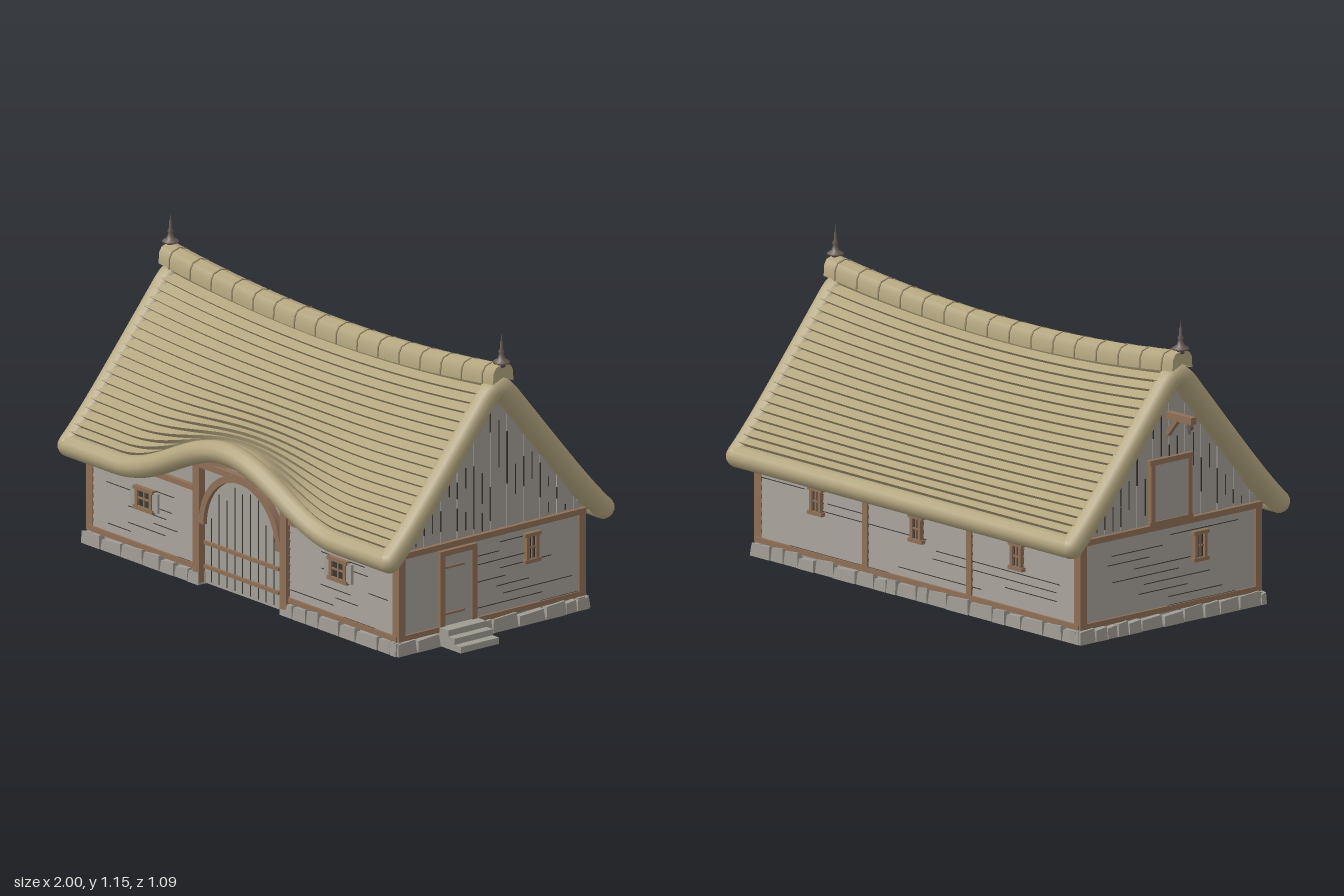
import * as THREE from 'three';
import { toCreasedNormals } from 'three/addons/utils/BufferGeometryUtils.js';

const mat = (name, color, side = THREE.FrontSide) => {
  const m = new THREE.MeshStandardMaterial({ color, side });
  m.name = name;
  return m;
};
const thatch = mat('thatch', 0xb3a57f, THREE.DoubleSide);
const thatchDark = mat('dark thatch', 0x8d8062, THREE.DoubleSide);
const boards = mat('weathered boards', 0xa39e97, THREE.DoubleSide);
const timber = mat('timber', 0x8f7057);
const stone = mat('stone', 0x9f9b93);
const dark = mat('dark gaps', 0x3b3733);
const iron = mat('finial metal', 0x675b54);

let seed = 7;
const rnd = () => (seed = (seed * 16807) % 2147483647) / 2147483647;

function add(g, name, geo, m, x = 0, y = 0, z = 0) {
  const mesh = new THREE.Mesh(geo, m);
  mesh.name = name;
  mesh.position.set(x, y, z);
  g.add(mesh);
  return mesh;
}
const box = (g, name, m, w, h, d, x, y, z) => add(g, name, new THREE.BoxGeometry(w, h, d), m, x, y, z);
const poly = (pts) => new THREE.Shape(pts.map(([x, y]) => new THREE.Vector2(x, y)));
const extrude = (shape, depth) => new THREE.ExtrudeGeometry(shape, { depth, bevelEnabled: false, curveSegments: 24 });

// Surface through a grid of points fn(i, j)
function sheet(fn, ni, nj, crease = 0.5) {
  const pos = [], idx = [];
  for (let i = 0; i <= ni; i++) for (let j = 0; j <= nj; j++) pos.push(...fn(i, j));
  for (let i = 0; i < ni; i++) for (let j = 0; j < nj; j++) {
    const a = i * (nj + 1) + j, b = a + nj + 1;
    idx.push(a, b, a + 1, b, b + 1, a + 1);
  }
  const geo = new THREE.BufferGeometry();
  geo.setAttribute('position', new THREE.Float32BufferAttribute(pos, 3));
  geo.setIndex(idx);
  return toCreasedNormals(geo, crease);
}

// Roof middle height: sagging ridge, flared eave, and an eyebrow over the front door
const EAVE = 0.503;
const sag = (x) => 0.055 * (1 - (x / 0.9) ** 2);
const brow = (x) => (Math.abs(x) < 0.62 ? 0.0925 * (1 + Math.cos((Math.PI * x) / 0.62)) : 0);
function roofY(x, s, u) {
  return 0.96 - 0.609 * u + 0.024 * u ** 6 - 0.03 * Math.max(0, 1 - u / 0.1) ** 2
    - sag(x) * (1 - u) + (s > 0 ? brow(x) * u ** 4 : 0);
}
function roofPoint(x, s, u, off = 0) {
  const e = 0.002, dy = (roofY(x, s, u + e) - roofY(x, s, u)) / e;
  const len = Math.hypot(EAVE, dy);
  const out = u < 0.001 ? 0 : (-dy / len) * off;
  return [x, roofY(x, s, u) + (EAVE / len) * off, s * (EAVE * u + out)];
}

function buildRoof(root) {
  const g = new THREE.Group();
  g.name = 'roof';
  root.add(g);
  const ROWS = 20, NX = 56, xAt = (i) => -0.9 + (1.8 * i) / NX;
  for (const s of [1, -1]) {
    // Overlapping thatch courses
    add(g, 'thatchCourses', sheet((i, j) => {
      const row = Math.floor(j / 2), low = j % 2;
      return roofPoint(xAt(i), s, (row + low) / ROWS, low ? 0.042 : 0.024);
    }, NX, ROWS * 2 - 1), thatch);
    add(g, 'thatchUnderside', sheet((i, j) => roofPoint(xAt(i), s, j / 16, -0.034), NX, 16), thatch);
    add(g, 'ceilingLining', sheet((i, j) => roofPoint(xAt(i) * 0.95, s, 0.05 + j * 0.048, -0.04), NX, 16), boards);
    // Rolled eave
    const pts = Array.from({ length: 41 }, (_, i) => new THREE.Vector3(...roofPoint(-0.9 + i * 0.045, s, 1)));
    add(g, 'eaveRoll', new THREE.TubeGeometry(new THREE.CatmullRomCurve3(pts), 80, 0.042, 12), thatch);
    for (const x of [-0.9, 0.9]) {
      add(g, 'eaveCorner', new THREE.SphereGeometry(0.042, 14, 10), thatch, ...roofPoint(x, s, 1));
    }
  }
  // Rolled gable edges
  for (const x of [-0.9, 0.9]) {
    const pts = [];
    for (let i = -20; i <= 20; i++) pts.push(new THREE.Vector3(...roofPoint(x, i < 0 ? -1 : 1, Math.abs(i) / 20)));
    add(g, 'gableRoll', new THREE.TubeGeometry(new THREE.CatmullRomCurve3(pts), 80, 0.043, 12), thatch);
  }
  // Ridge cap with lashings
  const section = [[-0.048, 0.955], [-0.046, 0.995], [-0.034, 1.016], [0, 1.026], [0.034, 1.016], [0.046, 0.995], [0.048, 0.955]];
  const cap = (x0, x1, n, k) => sheet((i, j) => {
    const end = i === 0 || i === n + 2;
    const x = x0 + ((x1 - x0) * Math.min(Math.max(i - 1, 0), n)) / n;
    const [z, y] = end ? [0, 0.975] : section[j];
    return [x, 0.975 + (y - 0.975) * k - sag(x), z * k];
  }, n + 2, 6);
  add(g, 'ridgeCap', cap(-0.94, 0.94, 30, 1), thatch);
  for (let i = 0; i < 16; i++) {
    const x = -0.88 + i * 0.1173;
    add(g, 'ridgeLashing', cap(x - 0.003, x + 0.003, 1, 1.05), thatchDark);
  }
  // Finials
  const profile = [[0, 0], [0.014, 0], [0.014, 0.012], [0.032, 0.016], [0.03, 0.022], [0.014, 0.032], [0.008, 0.05],
    [0.012, 0.058], [0.006, 0.068], [0.005, 0.095], [0.002, 0.1], [0, 0.135]].map(([r, y]) => new THREE.Vector2(r, y));
  for (const x of [-0.93, 0.93]) add(g, 'finial', new THREE.LatheGeometry(profile, 14), iron, x, 1.018, 0);
}

// Each wall has its own frame: x along the wall, z outward
function wall(root, name, turn) {
  const g = new THREE.Group();
  g.name = name;
  g.rotation.y = turn;
  root.add(g);
  return g;
}
function clapboards(g, x0, x1, z, top) {
  const n = 9, h = (top - 0.07) / n, w = x1 - x0, cx = (x0 + x1) / 2;
  for (let i = 0; i < n; i++) {
    const y = 0.07 + h * (i + 0.5);
    box(g, 'wallBoard', boards, w, h, 0.012, cx, y, z).rotation.x = -0.12;
    const len = w * (0.12 + 0.3 * rnd());
    box(g, 'boardGap', dark, len, 0.003, 0.004, x0 + len / 2 + rnd() * (w - len), y - h / 2, z + 0.007);
  }
}
function stones(g, x0, x1, z) {
  box(g, 'footing', stone, x1 - x0, 0.048, 0.03, (x0 + x1) / 2, 0.024, z - 0.02);
  for (let x = x0; x < x1 - 0.02;) {
    const w = Math.min(0.05 + 0.08 * rnd(), x1 - x), h = 0.04 + 0.014 * rnd();
    const geo = new THREE.BoxGeometry(w - 0.004, h, 0.04), p = geo.attributes.position;
    for (let i = 0; i < p.count; i++) {
      if (p.getY(i) > 0) p.setXYZ(i, p.getX(i) * 0.9, p.getY(i) + Math.sign(p.getX(i)) * 0.003, p.getZ(i) * 0.8);
    }
    geo.computeVertexNormals();
    add(g, 'footingStone', geo, stone, x + w / 2, h / 2, z + 0.005 * rnd());
    x += w;
  }
}
function windowAt(g, x, y, w, h, z, shutters) {
  box(g, 'windowPane', dark, w, h, 0.008, x, y, z + 0.006);
  for (const s of [-1, 1]) {
    box(g, 'windowJamb', timber, 0.014, h + 0.014, 0.022, x + (s * w) / 2, y, z + 0.008);
    box(g, 'windowRail', timber, w + 0.03, 0.014, 0.026, x, y + (s * h) / 2, z + 0.008);
    if (shutters) box(g, 'shutter', boards, 0.03, h, 0.01, x + s * (w / 2 + 0.022), y, z + 0.01);
  }
  box(g, 'mullion', timber, 0.007, h, 0.01, x, y, z + 0.01);
  box(g, 'glazingBar', timber, w, 0.007, 0.01, x, y, z + 0.01);
}

function buildFront(root) {
  const g = wall(root, 'frontWall', 0), D = 0.43;
  // Wall panel rising under the eyebrow
  const top = Array.from({ length: 41 }, (_, i) => 0.86 - i * 0.043).map((x) => [x, roofY(x, 1, D / EAVE) - 0.02]);
  add(g, 'wallPanel', extrude(poly([[-0.86, 0.05], [-0.22, 0.05], [-0.22, 0.01], [0.22, 0.01], [0.22, 0.05], [0.86, 0.05], ...top]), 0.015), boards, 0, 0, 0.412);
  for (const s of [-1, 1]) {
    const [a, b] = s < 0 ? [-0.86, -0.25] : [0.25, 0.86];
    clapboards(g, a, b, D, 0.35);
    stones(g, s < 0 ? -0.885 : 0.225, s < 0 ? -0.225 : 0.885, 0.435);
    box(g, 'sillBeam', timber, 0.62, 0.02, 0.03, s * 0.56, 0.06, D);
    box(g, 'wallPlate', timber, 0.62, 0.02, 0.03, s * 0.56, 0.355, D);
    box(g, 'doorPost', timber, 0.035, 0.45, 0.04, s * 0.245, 0.225, D + 0.005);
    windowAt(g, s * 0.545, 0.245, 0.08, 0.075, D + 0.004, true);
  }
  // Arched barn door
  const leaf = new THREE.Shape();
  leaf.moveTo(-0.21, 0.01).lineTo(0.21, 0.01).lineTo(0.21, 0.235).absarc(0, 0.235, 0.21, 0, Math.PI);
  add(g, 'barnDoor', extrude(leaf, 0.008), boards, 0, 0, D);
  const arch = new THREE.Shape();
  arch.absarc(0, 0.235, 0.228, 0, Math.PI).absarc(0, 0.235, 0.202, Math.PI, 0, true);
  add(g, 'doorArch', extrude(arch, 0.03), timber, 0, 0, D - 0.005);
  for (let i = -4; i <= 4; i++) {
    const h = 0.2 + Math.sqrt(0.04 - (i * 0.044) ** 2) - 0.06 * rnd();
    box(g, 'plankGap', dark, 0.003, h, 0.004, i * 0.044, 0.02 + h / 2, D + 0.008);
  }
  for (const y of [0.075, 0.165]) box(g, 'doorRail', timber, 0.42, 0.014, 0.012, 0, y, D + 0.012);
  box(g, 'lintel', timber, 0.56, 0.022, 0.036, 0, 0.456, D + 0.005);
  const beam = new THREE.Shape();
  beam.moveTo(-0.27, 0.45).quadraticCurveTo(0, 0.575, 0.27, 0.45).lineTo(0.22, 0.45).quadraticCurveTo(0, 0.52, -0.22, 0.45);
  add(g, 'curvedBeam', extrude(beam, 0.025), timber, 0, 0, D);
}

function buildBack(root) {
  const g = wall(root, 'backWall', Math.PI), D = 0.43;
  box(g, 'wallPanel', boards, 1.72, 0.36, 0.012, 0, 0.23, D - 0.012);
  clapboards(g, -0.86, 0.86, D, 0.36);
  stones(g, -0.885, 0.885, 0.435);
  box(g, 'sillBeam', timber, 1.74, 0.02, 0.03, 0, 0.06, D);
  box(g, 'wallPlate', timber, 1.74, 0.02, 0.03, 0, 0.37, D);
  for (const x of [-0.28, 0.28]) box(g, 'wallPost', timber, 0.026, 0.31, 0.03, x, 0.215, D);
  for (const x of [-0.54, 0, 0.54]) windowAt(g, x, 0.265, 0.045, 0.09, D + 0.004);
}

function buildGable(root, name, turn) {
  const g = wall(root, name, turn), D = 0.865;
  box(g, 'wallPanel', boards, 0.84, 0.32, 0.012, 0, 0.21, D - 0.012);
  clapboards(g, -0.42, 0.42, D, 0.365);
  stones(g, -0.455, 0.455, 0.87);
  box(g, 'sillBeam', timber, 0.88, 0.02, 0.03, 0, 0.06, D);
  box(g, 'tieBeam', timber, 0.88, 0.022, 0.036, 0, 0.372, D);
  for (const s of [-1, 1]) box(g, 'cornerPost', timber, 0.03, 0.33, 0.034, s * 0.425, 0.215, D - 0.002);
  // Upright gable boards
  const line = (x) => 0.925 - 1.26 * Math.abs(x);
  for (let i = -11; i < 11; i++) {
    const a = i * 0.039, b = a + 0.039;
    const t = [[b, Math.max(line(b), 0.382)], [a, Math.max(line(a), 0.382)]];
    add(g, 'gableBoard', extrude(poly([[a, 0.38], [b, 0.38], ...t]), i % 2 ? 0.012 : 0.015), boards, 0, 0, D - 0.012);
    const room = line(a) - 0.42;
    for (let k = 0; k < 2 && room > 0.05; k++) {
      const h = room * (0.15 + 0.25 * rnd());
      box(g, 'boardGap', dark, 0.004, h, 0.004, a, 0.385 + h / 2 + rnd() * (room - h), D + 0.003);
    }
  }
  return g;
}

function buildRight(root) {
  const g = buildGable(root, 'rightWall', Math.PI / 2), D = 0.865;
  // Side door with hinges and steps
  box(g, 'sideDoor', boards, 0.13, 0.27, 0.014, -0.163, 0.205, D + 0.008);
  for (const x of [-0.238, -0.088]) box(g, 'doorJamb', timber, 0.022, 0.285, 0.034, x, 0.21, D + 0.004);
  box(g, 'doorHead', timber, 0.172, 0.02, 0.034, -0.163, 0.345, D + 0.004);
  for (const y of [0.115, 0.29]) box(g, 'hinge', timber, 0.09, 0.008, 0.006, -0.18, y, D + 0.017);
  [[1, 0.024], [0.965, 0.047], [0.93, 0.07]].forEach(([x, h]) =>
    box(g, 'step', stone, 0.18, h, x - 0.87, -0.16, h / 2, (x + 0.87) / 2));
  windowAt(g, 0.185, 0.285, 0.045, 0.1, D + 0.004);
}

function buildLeft(root) {
  const g = buildGable(root, 'leftWall', -Math.PI / 2), D = 0.865;
  windowAt(g, 0.14, 0.27, 0.045, 0.1, D + 0.004);
  // Loft door below a hoist beam
  box(g, 'loftDoor', boards, 0.17, 0.22, 0.012, 0, 0.5, D + 0.006);
  for (const s of [-1, 1]) {
    box(g, 'loftJamb', timber, 0.02, 0.24, 0.028, s * 0.09, 0.5, D + 0.004);
    box(g, 'loftRail', timber, 0.21, 0.02, 0.028, 0, 0.5 + s * 0.115, D + 0.004);
  }
  box(g, 'hoistBeam', timber, 0.026, 0.026, 0.16, 0, 0.778, 0.92);
  box(g, 'hoistBrace', timber, 0.018, 0.1, 0.018, 0, 0.74, 0.89).rotation.x = 0.7;
  add(g, 'pulley', new THREE.CylinderGeometry(0.012, 0.012, 0.014, 12), iron, 0, 0.752, 0.98).rotation.z = Math.PI / 2;
  box(g, 'hook', iron, 0.006, 0.02, 0.01, 0, 0.735, 0.976);
}

export function createModel() {
  const root = new THREE.Group();
  root.name = 'thatchedBarn';
  buildRoof(root);
  buildFront(root);
  buildBack(root);
  buildRight(root);
  buildLeft(root);
  for (const x of [-1, 1]) for (const z of [-1, 1]) box(root, 'cornerPost', timber, 0.03, 0.32, 0.03, x * 0.858, 0.215, z * 0.425);
  // Crates inside
  for (const [x, z] of [[-0.35, 0.11], [-0.575, -0.03], [0.76, 0.11]]) box(root, 'crate', boards, 0.13, 0.16, 0.13, x, 0.08, z);
  return root;
}
